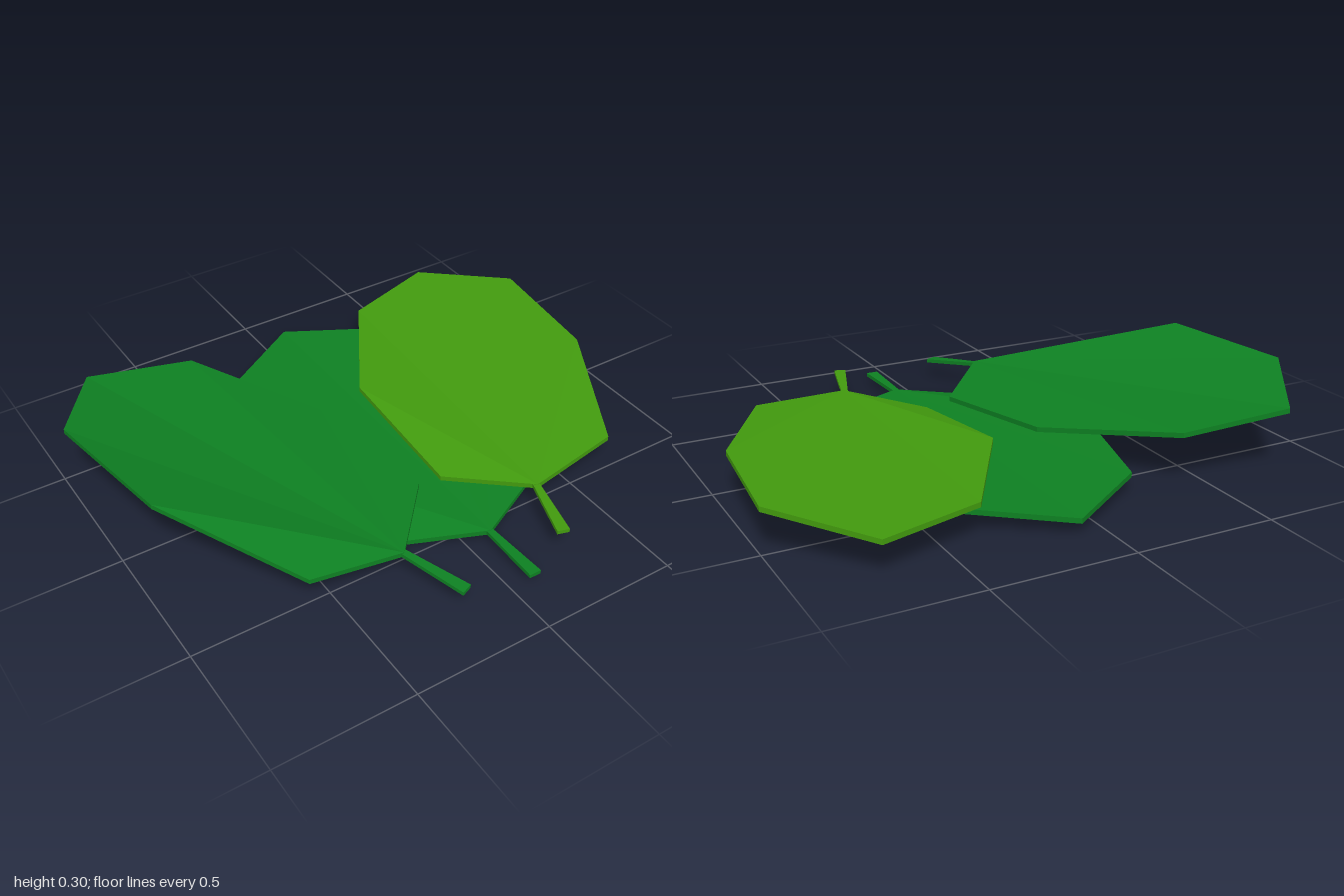
import * as THREE from 'three';

const THICKNESS = 0.018;

// Thin faceted slab: rim points [x, y, z] run clockwise seen from above,
// and the faces fan out from the first point
function slab(rim, thickness, material, name) {
  const top = rim.map(p => new THREE.Vector3(...p));
  const low = top.map(p => new THREE.Vector3(p.x, p.y - thickness, p.z));
  const corners = [];
  for (let i = 1; i < top.length - 1; i++) {
    corners.push(top[0], top[i + 1], top[i]);
    corners.push(low[0], low[i], low[i + 1]);
  }
  for (let i = 0; i < top.length; i++) {
    const j = (i + 1) % top.length;
    corners.push(top[i], top[j], low[j], top[i], low[j], low[i]);
  }
  const geometry = new THREE.BufferGeometry().setFromPoints(corners);
  geometry.computeVertexNormals();
  const mesh = new THREE.Mesh(geometry, material);
  mesh.name = name;
  return mesh;
}

// Flat stem that widens from the blade to its tip
function stem(base, tip, material) {
  const dx = tip[0] - base[0], dz = tip[2] - base[2];
  const length = Math.hypot(dx, dz);
  const side = (p, w) => [p[0] + (w * dz) / length, p[1], p[2] - (w * dx) / length];
  const rim = [side(base, -0.012), side(base, 0.012), side(tip, 0.022), side(tip, -0.022)];
  return slab(rim, 0.014, material, 'stem');
}

export function createModel() {
  const model = new THREE.Group();
  model.name = 'leaves';

  const deepGreen = new THREE.MeshStandardMaterial({ color: 0x0e8022 });
  deepGreen.name = 'deep green';
  const limeGreen = new THREE.MeshStandardMaterial({ color: 0x429a0e });
  limeGreen.name = 'lime green';

  // Each rim starts where the stem meets the blade
  const leaves = [
    {
      name: 'rightLeaf', material: deepGreen, tip: [-0.165, 0.078, 0.785],
      rim: [
        [-0.26, 0.112, 0.57], [-0.59, 0.133, 0.53], [-0.92, 0.3, 0.12], [-1, 0.292, -0.4],
        [-0.79, 0.235, -0.72], [-0.4, 0.195, -0.66], [-0.1, 0.12, -0.22], [-0.01, 0.088, 0.29],
      ],
    },
    {
      name: 'middleLeaf', material: deepGreen, tip: [0.085, 0.043, 0.82],
      rim: [
        [0.085, 0.043, 0.58], [-0.21, 0.02, 0.43], [-0.37, 0.08, -0.09], [-0.235, 0.07, -0.61],
        [0.085, 0.058, -0.82], [0.41, 0.076, -0.61], [0.53, 0.068, -0.09], [0.39, 0.052, 0.43],
      ],
    },
    {
      name: 'leftLeaf', material: limeGreen, tip: [0.25, 0.097, 0.755],
      rim: [
        [0.325, 0.095, 0.525], [0.09, 0.065, 0.28], [0.09, 0.125, -0.25], [0.37, 0.125, -0.7],
        [0.74, 0.13, -0.81], [1, 0.166, -0.51], [0.95, 0.156, -0.02], [0.69, 0.112, 0.47],
      ],
    },
  ];

  for (const { name, material, tip, rim } of leaves) {
    const leaf = new THREE.Group();
    leaf.name = name;
    const [x, y, z] = rim[0];
    leaf.add(slab(rim, THICKNESS, material, 'blade'));
    leaf.add(stem([x, y - 0.002, z - 0.01], tip, material));
    model.add(leaf);
  }
  return model;
}
